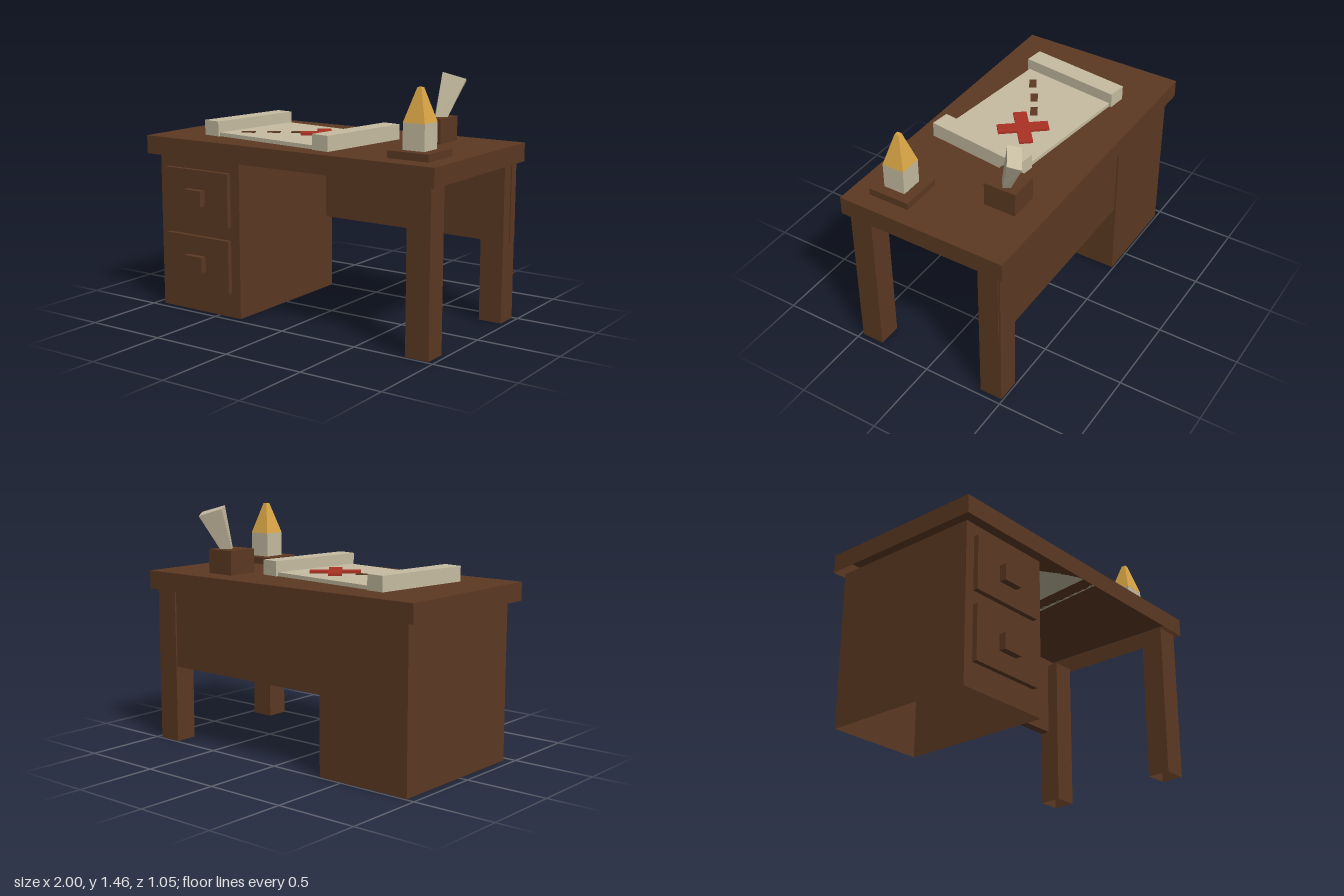
import * as THREE from 'three';

const mat = (name, color) => {
  const m = new THREE.MeshStandardMaterial({ color, side: THREE.DoubleSide, flatShading: true });
  m.name = name;
  return m;
};

export function createModel() {
  const model = new THREE.Group();
  model.name = 'writingDesk';
  const wood = mat('brownWood', 0x5c3922);
  const cream = mat('creamPaper', 0xc6bca1);
  const red = mat('redInk', 0xab3224);
  const gold = mat('goldFlame', 0xd9a545);

  // Box given by its limits; open ones have no underside
  const box = (name, material, [x0, x1], [y0, y1], [z0, z1], { open = false, parent = model } = {}) => {
    const g = new THREE.BoxGeometry(x1 - x0, y1 - y0, z1 - z0);
    if (open) {
      const index = Array.from(g.index.array);
      index.splice(18, 6);
      g.setIndex(index);
      g.clearGroups();
    }
    const mesh = new THREE.Mesh(g, material);
    mesh.name = name;
    mesh.position.set((x0 + x1) / 2, (y0 + y1) / 2, (z0 + z1) / 2);
    parent.add(mesh);
    return mesh;
  };

  // Four-sided solid between a bottom and a top loop of corners
  const loft = (name, material, bottom, top) => {
    const corners = [...bottom, ...top];
    const index = [0, 2, 1, 0, 3, 2, 4, 5, 6, 4, 6, 7];
    for (let i = 0; i < 4; i++) {
      const j = (i + 1) % 4;
      index.push(i, j, j + 4, i, j + 4, i + 4);
    }
    let g = new THREE.BufferGeometry();
    g.setAttribute('position', new THREE.Float32BufferAttribute(corners.flat(), 3));
    g.setIndex(index);
    g = g.toNonIndexed();
    g.computeVertexNormals();
    const mesh = new THREE.Mesh(g, material);
    mesh.name = name;
    model.add(mesh);
  };

  // Desk: top, cabinet, back panel and legs
  const open = { open: true };
  box('deskTop', wood, [-1, 1], [0.945, 1.055], [-0.525, 0.515], open);
  box('cabinet', wood, [-0.945, -0.34], [0, 0.945], [-0.49, 0.455], open);
  box('backPanel', wood, [-0.345, 0.972], [0.47, 0.945], [-0.48, -0.425]);
  for (const [z0, z1] of [[0.345, 0.485], [-0.49, -0.35]]) {
    box('leg', wood, [0.82, 0.965], [0, 0.945], [z0, z1], open);
  }

  // Drawers with square knobs
  for (const y of [0.147, 0.55]) {
    box('drawerFront', wood, [-0.885, -0.405], [y, y + 0.322], [0.44, 0.485]);
    box('drawerKnob', wood, [-0.71, -0.58], [y + 0.112, y + 0.207], [0.48, 0.525]);
  }

  // Map: flat sheet with a rolled end on each side
  const map = new THREE.Group();
  map.name = 'map';
  map.position.set(-0.195, 1.055, 0.04);
  map.rotation.y = -0.12;
  model.add(map);
  box('mapSheet', cream, [-0.39, 0.39], [0, 0.023], [-0.303, 0.303], { parent: map });
  for (const s of [-1, 1]) {
    const x = s * 0.44;
    box('mapRoll', cream, [x - 0.058, x + 0.058], [0, 0.09], [-0.317, 0.317], { parent: map });
  }

  // Cross and dashed trail on the map
  for (const turn of [-0.89, 0.68]) {
    const arm = box('crossArm', red, [-0.15, 0.15], [1.075, 1.092], [-0.04, 0.04]);
    arm.position.x = -0.045;
    arm.position.z = -0.005;
    arm.rotation.y = turn;
  }
  for (const [x, z] of [[-0.475, 0.19], [-0.35, 0.105], [-0.225, 0.03]]) {
    const dash = box('trailDash', wood, [-0.04, 0.04], [1.076, 1.083], [-0.022, 0.022]);
    dash.position.x = x;
    dash.position.z = z;
    dash.rotation.y = 0.53;
  }

  // Pen pot with a leaning quill
  box('penPot', wood, [0.45, 0.635], [1.055, 1.2], [-0.375, -0.18]);
  loft('quill', cream,
    [[0.56, 1.19, -0.245], [0.615, 1.19, -0.285], [0.59, 1.19, -0.32], [0.535, 1.19, -0.28]],
    [[0.577, 1.46, -0.293], [0.695, 1.42, -0.364], [0.658, 1.4, -0.433], [0.538, 1.443, -0.36]]);

  // Candle on a square plate
  box('candlePlate', wood, [0.637, 0.893], [1.055, 1.097], [0.14, 0.395]);
  box('candle', cream, [0.698, 0.834], [1.097, 1.245], [0.202, 0.336]);
  const ring = (r, y) => [[-1, 1], [1, 1], [1, -1], [-1, -1]].map(([a, b]) => [0.766 + a * r, y, 0.269 + b * r]);
  loft('flame', gold, ring(0.068, 1.245), ring(0.013, 1.433));

  return model;
}
